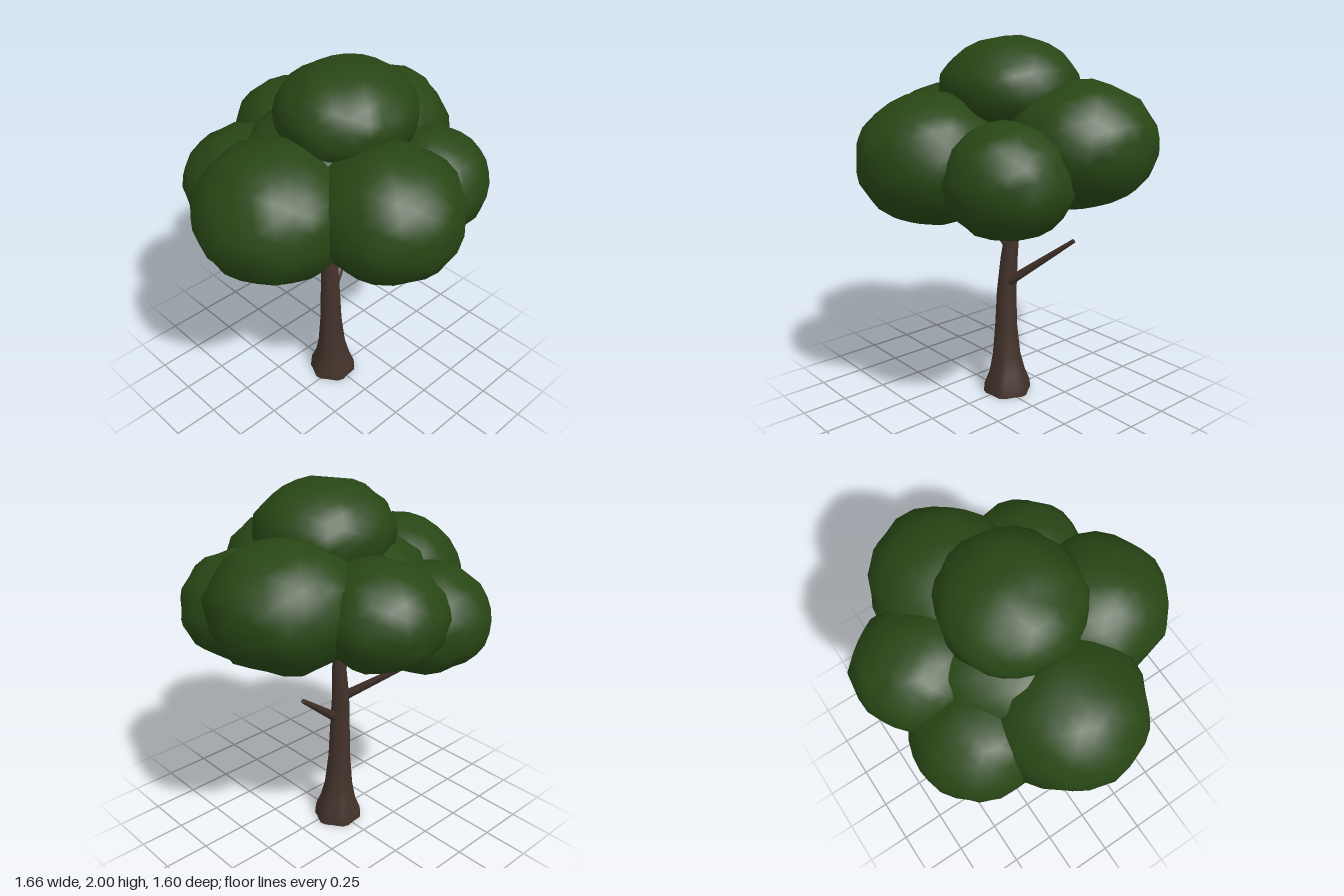
import * as THREE from 'three';
import { mergeVertices } from 'three/addons/utils/BufferGeometryUtils.js';

const bark = new THREE.MeshStandardMaterial({ color: 0x42322a });
const leaves = new THREE.MeshStandardMaterial({ color: 0x284615 });

// Lumpy, smooth-shaded ellipsoid; seed shifts the lumps
function foliage(center, radii, seed) {
  let geo = new THREE.IcosahedronGeometry(1, 4);
  geo.deleteAttribute('normal');
  geo.deleteAttribute('uv');
  geo = mergeVertices(geo, 1e-4);
  const pos = geo.attributes.position;
  const v = new THREE.Vector3();
  for (let i = 0; i < pos.count; i++) {
    v.fromBufferAttribute(pos, i);
    const lump = 0.012 * Math.sin(7.3 * v.z + 5.2 * v.x + seed * 4.1)
      + 0.016 * Math.sin(11 * v.x - 6 * v.y + seed * 1.7)
      + 0.016 * Math.sin(12 * v.y + 7 * v.z + seed * 5.3);
    v.multiplyScalar(0.99 + lump);
    pos.setXYZ(i, v.x * radii[0], v.y * radii[1], v.z * radii[2]);
  }
  geo.computeVertexNormals();
  const mesh = new THREE.Mesh(geo, leaves);
  mesh.position.set(...center);
  return mesh;
}

// Trunk skinned over rings [x, y, z, radius, root lobe depth]
function trunkGeometry(rings, sides) {
  const points = [], index = [];
  rings.forEach(([x, y, z, r, lobe], j) => {
    for (let i = 0; i < sides; i++) {
      const a = (i / sides) * Math.PI * 2;
      const d = r * (1 + lobe * Math.cos(6 * a + 0.6));
      points.push(x + d * Math.cos(a), y, z + d * Math.sin(a));
      if (j === 0) continue;
      const n = (i + 1) % sides, lo = (j - 1) * sides, hi = j * sides;
      index.push(lo + i, hi + i, lo + n, lo + n, hi + i, hi + n);
    }
  });
  // Bottom cap with its own rim, so the lower edge stays sharp
  const rim = points.length / 3;
  points.push(...points.slice(0, sides * 3), rings[0][0], rings[0][1], rings[0][2]);
  for (let i = 0; i < sides; i++) index.push(rim + sides, rim + i, rim + (i + 1) % sides);
  const geo = new THREE.BufferGeometry();
  geo.setAttribute('position', new THREE.Float32BufferAttribute(points, 3));
  geo.setIndex(index);
  geo.computeVertexNormals();
  return geo;
}

// Tapered straight limb between two points
function branch(from, to, r0, r1) {
  const a = new THREE.Vector3(...from), b = new THREE.Vector3(...to);
  const dir = b.clone().sub(a);
  const mesh = new THREE.Mesh(new THREE.CylinderGeometry(r1, r0, dir.length(), 8), bark);
  mesh.position.copy(a).add(b).multiplyScalar(0.5);
  mesh.quaternion.setFromUnitVectors(new THREE.Vector3(0, 1, 0), dir.normalize());
  return mesh;
}

export function createModel() {
  const tree = new THREE.Group();
  tree.name = 'tree';

  // Trunk with flared, lobed root base
  const trunk = new THREE.Mesh(trunkGeometry([
    [0, 0, -0.03, 0.13, 0.06],
    [0, 0.05, -0.03, 0.125, 0.06],
    [0, 0.12, -0.03, 0.099, 0.05],
    [-0.006, 0.22, -0.03, 0.078, 0.03],
    [-0.011, 0.4, -0.031, 0.062, 0.01],
    [-0.011, 0.6, -0.035, 0.055, 0],
    [-0.004, 0.8, -0.047, 0.047, 0],
    [0.017, 1.0, -0.057, 0.037, 0],
    [0.03, 1.3, -0.06, 0.03, 0],
  ], 24), bark);
  trunk.name = 'trunk';
  tree.add(trunk);

  // Branches
  const branches = new THREE.Group();
  branches.name = 'branches';
  branches.add(
    branch([0, 0.65, -0.02], [0.37, 0.955, -0.17], 0.028, 0.012),
    branch([-0.02, 0.79, -0.05], [-0.23, 1.08, -0.41], 0.027, 0.012),
    branch([0.01, 0.86, -0.04], [-0.24, 1.18, 0.08], 0.026, 0.012),
    branch([0.01, 0.98, -0.04], [-0.1, 1.18, 0.04], 0.024, 0.014),
  );
  tree.add(branches);

  // Foliage clumps: name, centre, radii
  const clumps = [
    ['topFoliage', [0.06, 1.74, 0.01], [0.37, 0.26, 0.355]],
    ['frontFoliage', [-0.06, 1.405, 0.42], [0.375, 0.335, 0.385]],
    ['rightFoliage', [-0.42, 1.385, 0.01], [0.41, 0.345, 0.4]],
    ['leftFoliage', [0.43, 1.48, -0.13], [0.4, 0.32, 0.385]],
    ['frontLeftFoliage', [0.375, 1.345, 0.29], [0.325, 0.285, 0.33]],
    ['backFoliage', [0.14, 1.45, -0.46], [0.325, 0.265, 0.345]],
    ['backRightFoliage', [-0.26, 1.305, -0.39], [0.34, 0.29, 0.35]],
    ['middleFoliage', [-0.02, 1.425, -0.05], [0.47, 0.325, 0.47]],
  ];
  clumps.forEach(([name, center, radii], i) => {
    const clump = foliage(center, radii, i + 1);
    clump.name = name;
    tree.add(clump);
  });

  return tree;
}
